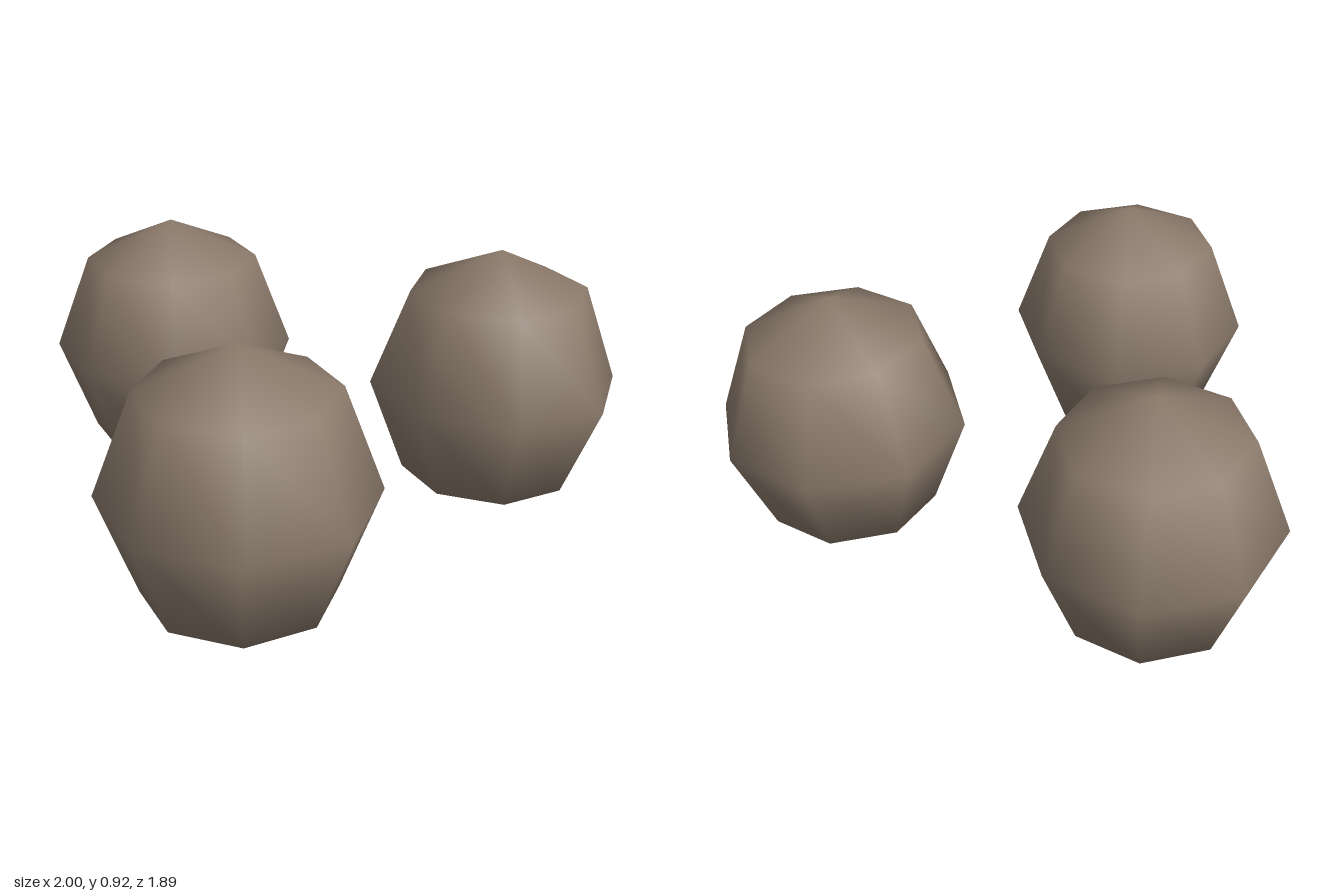
import * as THREE from 'three';

export function createModel() {
  const group = new THREE.Group();
  const stone = new THREE.MeshStandardMaterial({ color: 0x8b7a6b });
  stone.name = 'stone brown';

  // Low-poly boulder, slightly taller than wide, resting on the ground
  const radius = 0.42, stretch = 1.1;
  const boulder = new THREE.SphereGeometry(radius, 8, 4);
  boulder.scale(1, stretch, 1);

  // Three boulders: x, z of each
  const places = { rightBoulder: [-0.58, 0.42], leftBoulder: [0.58, 0.525], backBoulder: [0.09, -0.525] };
  for (const [name, [x, z]] of Object.entries(places)) {
    const mesh = new THREE.Mesh(boulder, stone);
    mesh.name = name;
    mesh.position.set(x, radius * stretch, z);
    group.add(mesh);
  }
  return group;
}
